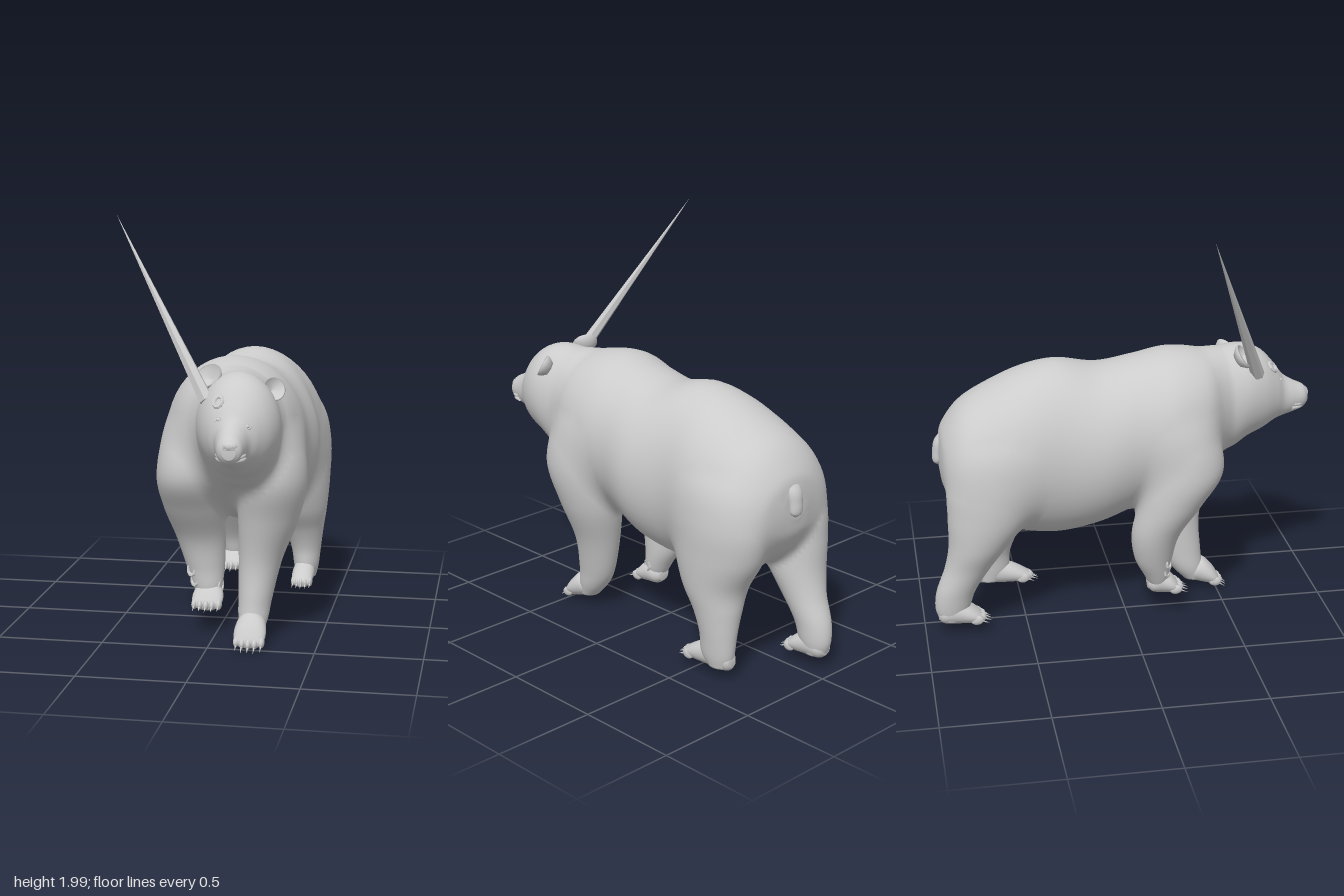
import * as THREE from 'three';

const grey = new THREE.MeshStandardMaterial({ color: 0xcccccc, side: THREE.DoubleSide });
const flatGrey = new THREE.MeshStandardMaterial({ color: 0xcccccc, flatShading: true });

function add(parent, name, geometry, pos = [0, 0, 0], scale = [1, 1, 1], rot = [0, 0, 0], material = grey) {
  const mesh = new THREE.Mesh(geometry, material);
  mesh.name = name;
  mesh.position.set(...pos);
  mesh.scale.set(...scale);
  mesh.rotation.set(...rot);
  parent.add(mesh);
  return mesh;
}

// Smooth elliptical sections through rows [x, y, z, halfWidth, halfDepth], ordered upward along the axis
function sections(rows, axis, steps = 7) {
  const centres = new THREE.CatmullRomCurve3(rows.map(r => new THREE.Vector3(r[0], r[1], r[2])), false, 'catmullrom', 0.5);
  const radii = new THREE.CatmullRomCurve3(rows.map(r => new THREE.Vector3(r[3], r[4], 0)), false, 'catmullrom', 0.5);
  const n = (rows.length - 1) * steps, rings = [];
  for (let i = 0; i <= n; i++) {
    const c = centres.getPoint(i / n), r = radii.getPoint(i / n);
    rings.push({ x: c.x, y: c.y, z: c.z, a: r.x, b: r.y });
  }
  return { rings, axis };
}

// Skin over the sections, closed at both ends
function skin({ rings, axis }, sides = 48) {
  const pos = [], index = [], n = rings.length - 1;
  for (const r of rings) {
    for (let j = 0; j < sides; j++) {
      const t = (j / sides) * Math.PI * 2, u = r.a * Math.cos(t), v = r.b * Math.sin(t);
      if (axis === 'z') pos.push(r.x + u, r.y + v, r.z);
      else pos.push(r.x + u, r.y, r.z - v);
    }
  }
  for (let i = 0; i < n; i++) {
    for (let j = 0; j < sides; j++) {
      const a = i * sides + j, b = i * sides + (j + 1) % sides;
      index.push(a, b, a + sides, b, b + sides, a + sides);
    }
  }
  const k = (n + 1) * sides;
  for (const r of [rings[0], rings[n]]) pos.push(r.x, r.y, r.z);
  for (let j = 0; j < sides; j++) {
    const m = (j + 1) % sides;
    index.push(k, m, j, k + 1, n * sides + j, n * sides + m);
  }
  const g = new THREE.BufferGeometry();
  g.setAttribute('position', new THREE.Float32BufferAttribute(pos, 3));
  g.setIndex(index);
  g.computeVertexNormals();
  return g;
}

// Rough signed distance from a point to the skin of one part
function distance({ rings, axis }, p) {
  const s = p[axis], end = rings.length - 1;
  let i = 0;
  while (i < end - 1 && rings[i + 1][axis] < s) i++;
  const A = rings[i], B = rings[i + 1];
  const t = THREE.MathUtils.clamp((s - A[axis]) / (B[axis] - A[axis]), 0, 1);
  const mix = key => A[key] + (B[key] - A[key]) * t;
  const a = mix('a'), b = mix('b'), side = axis === 'z' ? 'y' : 'z';
  const beyond = Math.max(rings[0][axis] - s, s - rings[end][axis], 0);
  return (Math.hypot((p.x - mix('x')) / a, (p[side] - mix(side)) / b) - 1) * Math.min(a, b) + beyond;
}

// Distance to all parts together, with soft joins
function blended(parts, p, k = 0.055) {
  return parts.map(part => distance(part, p)).reduce((d, e) => {
    const h = Math.max(k - Math.abs(d - e), 0) / k;
    return Math.min(d, e) - h * h * k / 4;
  });
}

function slope(parts, p) {
  const g = new THREE.Vector3(), q = p.clone(), e = 0.008;
  for (const c of ['x', 'y', 'z']) {
    q[c] = p[c] + e;
    const high = blended(parts, q);
    q[c] = p[c] - e;
    g[c] = (high - blended(parts, q)) / (2 * e);
    q[c] = p[c];
  }
  return g;
}

// Move vertices near a join onto the common soft surface, so the parts flow together (cap centres stay)
function flow(geometry, parts) {
  const pos = geometry.attributes.position, normal = geometry.attributes.normal, p = new THREE.Vector3();
  for (let i = 0; i < pos.count - 2; i++) {
    p.fromBufferAttribute(pos, i);
    let d = blended(parts, p);
    if (d < -0.045 || d > -0.0003) continue;
    for (let n = 0; n < 4; n++) {
      const g = slope(parts, p);
      p.addScaledVector(g, THREE.MathUtils.clamp(-d / Math.max(g.lengthSq(), 0.1), -0.02, 0.02));
      d = blended(parts, p);
    }
    const out = slope(parts, p).normalize();
    pos.setXYZ(i, p.x, p.y, p.z);
    normal.setXYZ(i, out.x, out.y, out.z);
  }
  return geometry;
}

const ball = new THREE.SphereGeometry(1, 24, 16);

// Paw with its heel at the origin, sole on y = 0, toes toward +z
function paw(parent, name, pos, length, w, pitch = 0) {
  const g = new THREE.Group();
  g.name = name;
  g.position.set(...pos);
  g.rotation.x = pitch;
  add(g, 'sole', skin(sections([
    [0, 0.05, -0.015, w * 0.4, 0.025], [0, 0.055, 0.01, w * 0.75, 0.05], [0, 0.065, length * 0.35, w * 0.92, 0.065],
    [0, 0.05, length * 0.7, w, 0.05], [0, 0.03, length * 0.97, w * 0.85, 0.028], [0, 0.026, length * 1.05, w * 0.5, 0.012],
  ], 'z', 5), 28));
  for (let i = -2; i <= 2; i++) {
    const x = i * w * 0.39, z = length * (0.98 - 0.025 * i * i);
    add(g, 'toe', ball, [x, 0.028, z], [w * 0.2, 0.024, 0.032]);
    add(g, 'claw', new THREE.ConeGeometry(0.007, 0.05, 8), [x, 0.018, z + 0.038], [1, 1, 1], [Math.PI / 2 + 0.4, 0, 0]);
  }
  parent.add(g);
}

export function createModel() {
  const bear = new THREE.Group();
  bear.name = 'bear';

  // Barrel, head and legs share one flowing skin
  const parts = {
    torso: sections([
      [0.09, 0.87, -0.895, 0.06, 0.07], [0.085, 0.86, -0.875, 0.18, 0.155], [0.08, 0.855, -0.8, 0.275, 0.263],
      [0.085, 0.855, -0.69, 0.315, 0.337], [0.09, 0.87, -0.5, 0.33, 0.408], [0.09, 0.877, -0.32, 0.32, 0.437],
      [0.1, 0.88, -0.12, 0.343, 0.4], [0.095, 0.93, 0.06, 0.32, 0.38], [0.085, 0.97, 0.22, 0.325, 0.374],
      [0.1, 1.015, 0.38, 0.28, 0.31], [0.125, 1.03, 0.48, 0.2, 0.25], [0.14, 1.03, 0.56, 0.1, 0.15],
    ], 'z'),
    head: sections([
      [0.12, 1.05, 0.3, 0.1, 0.14], [0.135, 1.05, 0.43, 0.185, 0.245], [0.155, 1.055, 0.54, 0.195, 0.265],
      [0.165, 1.08, 0.63, 0.188, 0.237], [0.17, 1.078, 0.71, 0.16, 0.2], [0.17, 1.062, 0.775, 0.116, 0.146],
      [0.17, 1.04, 0.82, 0.08, 0.108], [0.172, 1.03, 0.875, 0.066, 0.082], [0.176, 1.027, 0.925, 0.054, 0.06],
      [0.178, 1.026, 0.95, 0.03, 0.034],
    ], 'z'),
    leftFrontLeg: sections([
      [0.195, 0.06, 0.39, 0.05, 0.05], [0.195, 0.13, 0.355, 0.07, 0.08], [0.2, 0.22, 0.325, 0.08, 0.1],
      [0.22, 0.4, 0.297, 0.103, 0.122], [0.258, 0.6, 0.3, 0.143, 0.168], [0.28, 0.8, 0.328, 0.16, 0.2],
      [0.255, 1.0, 0.305, 0.145, 0.18], [0.18, 1.15, 0.26, 0.1, 0.12], [0.14, 1.24, 0.24, 0.03, 0.03],
    ], 'y'),
    rightFrontLeg: sections([
      [-0.055, 0.16, 0.16, 0.05, 0.045], [-0.06, 0.22, 0.15, 0.072, 0.066], [-0.075, 0.32, 0.13, 0.095, 0.094],
      [-0.095, 0.46, 0.14, 0.12, 0.12], [-0.112, 0.62, 0.21, 0.148, 0.155], [-0.115, 0.79, 0.275, 0.162, 0.188],
      [-0.08, 1.0, 0.265, 0.155, 0.165], [-0.01, 1.15, 0.25, 0.1, 0.12], [0.03, 1.24, 0.24, 0.03, 0.03],
    ], 'y'),
    leftHindLeg: sections([
      [0.318, 0.07, -0.65, 0.05, 0.06], [0.32, 0.13, -0.637, 0.063, 0.09], [0.318, 0.23, -0.637, 0.077, 0.098],
      [0.308, 0.34, -0.62, 0.102, 0.125], [0.292, 0.46, -0.59, 0.138, 0.172], [0.28, 0.62, -0.602, 0.162, 0.242],
      [0.272, 0.8, -0.615, 0.17, 0.255], [0.24, 0.97, -0.59, 0.15, 0.21], [0.17, 1.11, -0.53, 0.06, 0.08],
    ], 'y'),
    rightHindLeg: sections([
      [-0.095, 0.07, -0.87, 0.05, 0.06], [-0.095, 0.14, -0.865, 0.066, 0.085], [-0.098, 0.23, -0.845, 0.079, 0.095],
      [-0.1, 0.35, -0.785, 0.1, 0.112], [-0.108, 0.47, -0.73, 0.13, 0.145], [-0.112, 0.62, -0.675, 0.148, 0.2],
      [-0.1, 0.8, -0.635, 0.158, 0.235], [-0.06, 0.97, -0.59, 0.15, 0.21], [0, 1.11, -0.53, 0.06, 0.08],
    ], 'y'),
  };
  const all = Object.values(parts);
  for (const [name, part] of Object.entries(parts)) add(bear, name, flow(skin(part), all));

  paw(bear, 'leftFrontPaw', [0.195, 0.055, 0.345], 0.165, 0.075, 0.24);
  paw(bear, 'rightFrontPaw', [-0.05, 0.115, 0.12], 0.135, 0.075);
  paw(bear, 'leftHindPaw', [0.315, 0.052, -0.71], 0.26, 0.056);
  paw(bear, 'rightHindPaw', [-0.095, 0.052, -0.92], 0.19, 0.07);

  // Ragged wound above the lifted paw: [x, y, z, turn]
  for (const [x, y, z, turn] of [[-0.13, 0.3, 0.195, -0.5], [-0.115, 0.25, 0.19, -0.6], [0.005, 0.22, 0.165, 1.3]]) {
    add(bear, 'pawWound', new THREE.TorusGeometry(0.022, 0.008, 6, 9), [x, y, z], [1, 1.3, 1], [-0.2, turn, 0], flatGrey);
  }

  // Short hanging tail, rooted in the rump
  add(bear, 'tail', skin(sections([
    [0.1, 0.815, -0.9, 0.01, 0.008], [0.1, 0.835, -0.9, 0.033, 0.024], [0.1, 0.88, -0.895, 0.038, 0.029],
    [0.1, 0.94, -0.875, 0.046, 0.036], [0.1, 1.0, -0.82, 0.05, 0.035],
  ], 'y'), 24));

  // Height and side position on the face give the depth of its surface
  const faceZ = (x, y) => {
    let z = 0.96;
    while (distance(parts.head, { x, y, z }) > 0) z -= 0.002;
    return z;
  };

  // Nose and nostrils
  add(bear, 'nose', ball, [0.18, 1.05, 0.932], [0.036, 0.023, 0.024]);
  for (const s of [-1, 1]) add(bear, 'nostril', new THREE.TorusGeometry(0.008, 0.003, 6, 12), [0.18 + s * 0.016, 1.045, 0.951]);

  // Lips follow the muzzle
  for (const [name, y, back] of [['upperLip', 1.0, 0], ['lowerLip', 0.983, 0.01]]) {
    const path = new THREE.CatmullRomCurve3([[0.112, 0.87], [0.125, 0.905], [0.15, 0.932], [0.177, 0.942], [0.205, 0.932], [0.228, 0.905], [0.235, 0.87]]
      .map(([x, z]) => new THREE.Vector3(x, y, z - back)));
    add(bear, name, new THREE.TubeGeometry(path, 24, 0.008, 8));
  }

  // Eyes with lids
  for (const [x, y, turn] of [[0.107, 1.14, -0.5], [0.236, 1.115, 0.5]]) {
    const z = faceZ(x, y) - 0.003;
    add(bear, 'eye', ball, [x, y, z], [0.01, 0.008, 0.008]);
    add(bear, 'eyelid', new THREE.TorusGeometry(0.014, 0.004, 8, 16), [x, y, z], [1.2, 0.7, 1], [-0.5, turn, 0]);
  }

  // Rounded cupped ears
  const earCup = new THREE.LatheGeometry([[0, -0.025], [0.035, -0.02], [0.055, 0], [0.06, 0.014], [0.053, 0.016], [0.04, 0], [0, -0.012]]
    .map(p => new THREE.Vector2(...p)), 24);
  earCup.rotateX(Math.PI / 2);
  add(bear, 'rightEar', earCup, [0.03, 1.29, 0.58], [1.1, 1, 1.2], [-0.7, -0.3, 0.4]);
  add(bear, 'leftEar', earCup, [0.31, 1.238, 0.56], [0.9, 1, 1.2], [-0.6, 0.6, -0.5]);

  // Hole in the forehead
  add(bear, 'foreheadWound', new THREE.TorusGeometry(0.024, 0.01, 6, 9), [0.1, 1.21, faceZ(0.1, 1.21)], [0.9, 1.1, 1], [-0.75, -0.4, 0], flatGrey);

  // Long thin spike standing out of the head
  const base = new THREE.Vector3(0.03, 1.2, 0.66), tip = new THREE.Vector3(-0.45, 2, 0.33);
  const dir = tip.clone().sub(base);
  const spike = add(bear, 'spike', new THREE.ConeGeometry(0.034, dir.length(), 6),
    base.clone().add(tip).multiplyScalar(0.5).toArray(), [1, 1, 1], [0, 0, 0], flatGrey);
  spike.quaternion.setFromUnitVectors(new THREE.Vector3(0, 1, 0), dir.normalize());

  return bear;
}
